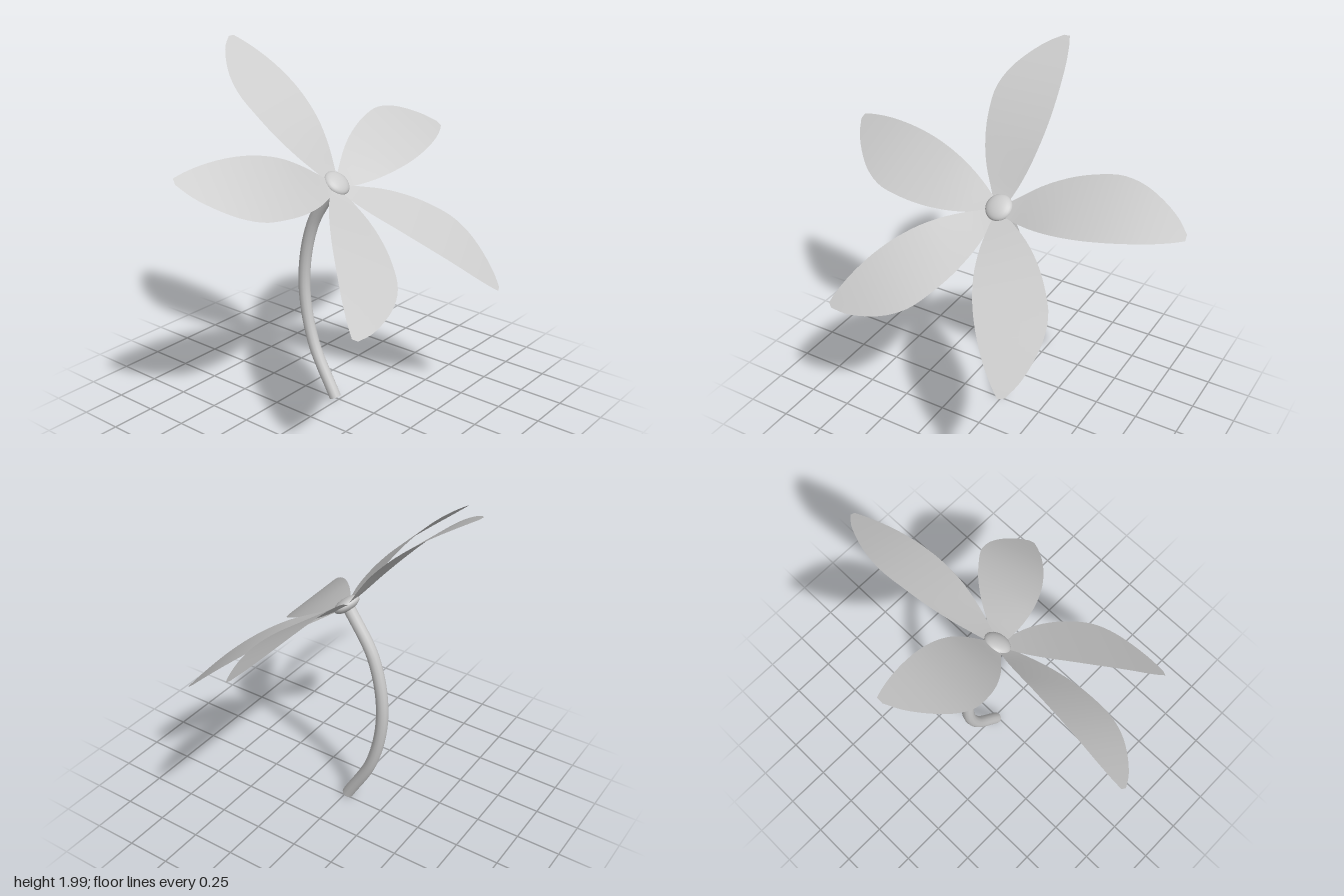
import * as THREE from 'three';

const material = new THREE.MeshStandardMaterial({ color: 0xcccccc, side: THREE.DoubleSide });

function addMesh(parent, name, geometry) {
  const mesh = new THREE.Mesh(geometry, material);
  mesh.name = name;
  parent.add(mesh);
  return mesh;
}

// Petal stations: distance from hub, wide-side width, narrow-side width, height
const STATIONS = [
  [0.0, 0.02, 0.015, 0.0],
  [0.1, 0.085, 0.055, 0.02],
  [0.22, 0.16, 0.09, 0.05],
  [0.36, 0.22, 0.112, 0.08],
  [0.5, 0.255, 0.117, 0.098],
  [0.63, 0.268, 0.108, 0.105],
  [0.75, 0.24, 0.09, 0.102],
  [0.86, 0.18, 0.066, 0.092],
  [0.96, 0.1, 0.035, 0.079],
  [1.02, 0.025, 0.01, 0.07],
];

// Lopsided leaf blade along +x, arched in z and rolled towards its wide side
function petalGeometry() {
  const rows = 28, cols = 8;
  const curve = (k) => new THREE.CatmullRomCurve3(
    STATIONS.map((s) => new THREE.Vector3(s[0], s[k], 0)), false, 'centripetal');
  const [wide, narrow, height] = [1, 2, 3].map(curve);
  const geometry = new THREE.PlaneGeometry(1, 1, cols, rows);
  const pos = geometry.attributes.position;
  for (let i = 0; i <= rows; i++) {
    const a = wide.getPoint(i / rows), b = narrow.getPoint(i / rows), h = height.getPoint(i / rows);
    for (let j = 0; j <= cols; j++) {
      const t = j / cols;
      const w = THREE.MathUtils.lerp(a.y, -b.y, t);
      const x = THREE.MathUtils.lerp(a.x, b.x, t);
      const roll = -0.08 * w * Math.min(1, h.y / 0.08);
      pos.setXYZ(i * (cols + 1) + j, x, w, h.y + roll);
    }
  }
  // Rows run along +x and columns along -y, so the winding is flipped to face +z
  const index = geometry.index;
  for (let i = 0; i < index.count; i += 3) {
    const v = index.getX(i);
    index.setX(i, index.getX(i + 1));
    index.setX(i + 1, v);
  }
  geometry.computeVertexNormals();
  return geometry;
}

export function createModel() {
  const model = new THREE.Group();
  model.name = 'flower';

  // Bowed stem with closed ends
  const stem = new THREE.Group();
  stem.name = 'stem';
  model.add(stem);
  const path = new THREE.CatmullRomCurve3(
    [[0.018, -0.015], [0.33, -0.178], [0.68, -0.237], [1.02, -0.175], [1.285, -0.015]]
      .map(([y, z]) => new THREE.Vector3(-0.015, y, z)));
  addMesh(stem, 'stemTube', new THREE.TubeGeometry(path, 32, 0.034, 12));
  for (const t of [0, 1]) {
    const cap = addMesh(stem, t ? 'stemTopCap' : 'stemBottomCap', new THREE.CircleGeometry(0.034, 12));
    const out = path.getTangent(t).multiplyScalar(t ? 1 : -1);
    cap.position.copy(path.getPoint(t));
    cap.quaternion.setFromUnitVectors(new THREE.Vector3(0, 0, 1), out);
  }

  // Blossom tilted up and forward
  const blossom = new THREE.Group();
  blossom.name = 'blossom';
  blossom.position.set(-0.015, 1.28, 0);
  blossom.rotation.x = -0.87;
  model.add(blossom);

  const hub = addMesh(blossom, 'hub', new THREE.SphereGeometry(0.076, 24, 16));
  hub.scale.z = 0.45;
  hub.position.set(0, 0.012, 0.01);

  const petal = petalGeometry();
  [90, 163.7, 229.5, 295.7, 366.2].forEach((angle, i) => {
    addMesh(blossom, `petal${i + 1}`, petal).rotation.z = THREE.MathUtils.degToRad(angle);
  });
  return model;
}
